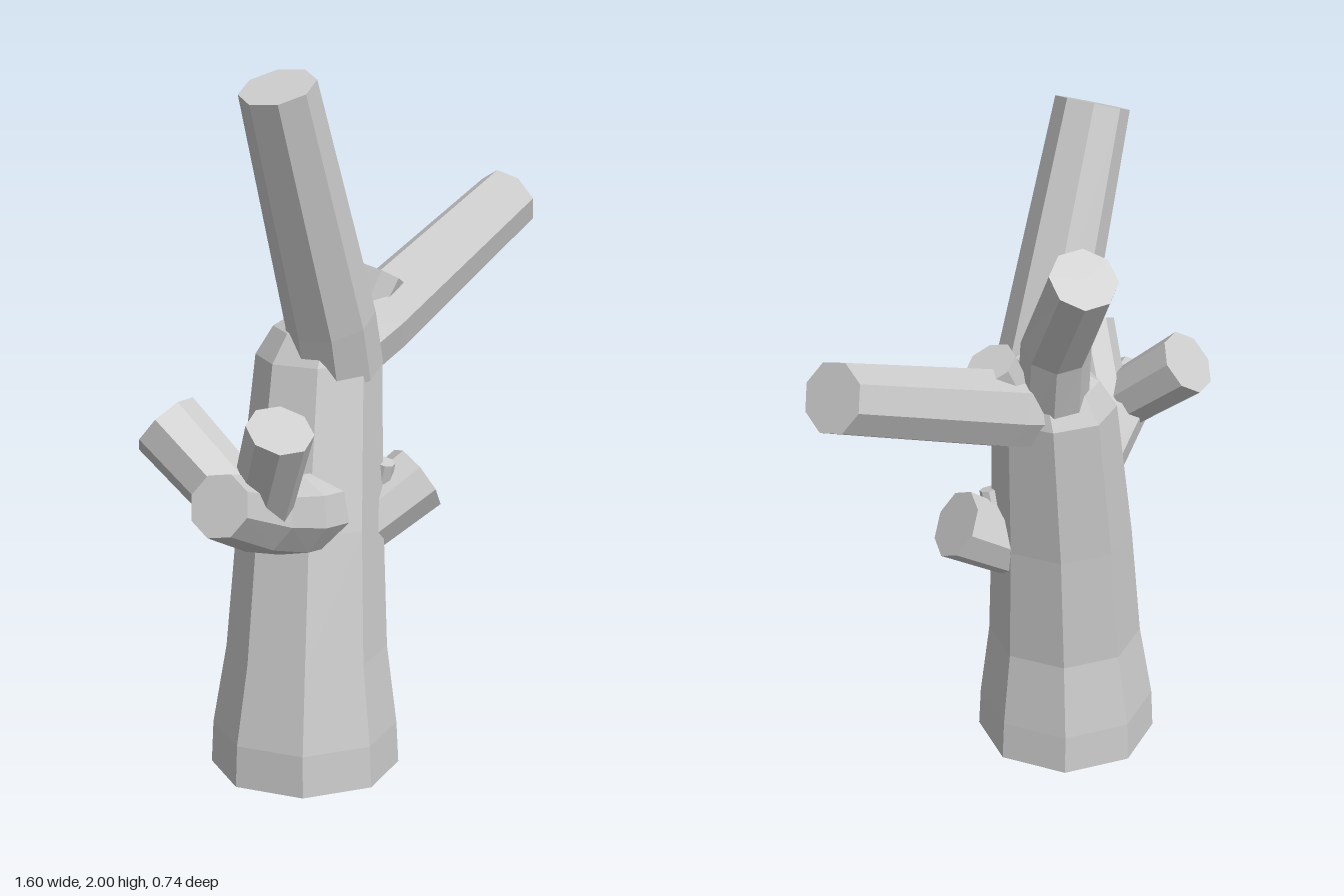
import * as THREE from 'three';

const SIDES = 8;

// Closed octagonal limb through rings [x, y, z, radius]; level keeps the rings horizontal
function limb(rings, level = false, phase = -0.15) {
  const centres = rings.map(([x, y, z]) => new THREE.Vector3(x, y, z));
  const last = rings.length - 1;
  const loops = rings.map((ring, i) => {
    const n = level
      ? new THREE.Vector3(0, 1, 0)
      : centres[Math.min(i + 1, last)].clone().sub(centres[Math.max(i - 1, 0)]).normalize();
    const u = n.clone().cross(new THREE.Vector3(0, 0, 1)).normalize();
    const v = n.clone().cross(u);
    return Array.from({ length: SIDES }, (_, k) => {
      const a = phase + (k / SIDES) * Math.PI * 2;
      return centres[i].clone()
        .addScaledVector(u, Math.cos(a) * ring[3])
        .addScaledVector(v, Math.sin(a) * ring[3]);
    });
  });
  const points = [];
  for (let k = 0; k < SIDES; k++) {
    const m = (k + 1) % SIDES;
    for (let i = 0; i < last; i++) {
      const [a, b, c, d] = [loops[i][k], loops[i][m], loops[i + 1][m], loops[i + 1][k]];
      points.push(a, b, c, a, c, d);
    }
    points.push(centres[0], loops[0][m], loops[0][k]);
    points.push(centres[last], loops[last][k], loops[last][m]);
  }
  const geometry = new THREE.BufferGeometry().setFromPoints(points);
  geometry.computeVertexNormals();
  return geometry;
}

export function createModel() {
  const tree = new THREE.Group();
  tree.name = 'bareTree';
  const bark = new THREE.MeshStandardMaterial({ color: 0xcccccc, flatShading: true });
  bark.name = 'grey bark';

  const add = (name, rings, level, phase) => {
    const mesh = new THREE.Mesh(limb(rings, level, phase), bark);
    mesh.name = name;
    tree.add(mesh);
  };

  // Leaning trunk, flared at the foot and narrowing into the fork
  add('trunk', [
    [-0.21, 0, 0.02, 0.268],
    [-0.21, 0.12, 0.02, 0.262],
    [-0.2, 0.35, 0.02, 0.228],
    [-0.155, 0.72, 0.0, 0.206],
    [-0.075, 1.17, -0.03, 0.178],
    [-0.06, 1.25, -0.02, 0.145],
    [-0.02, 1.33, 0.0, 0.05],
  ], true);

  // Three main boughs
  add('tallBough', [
    [-0.07, 1.14, 0.03, 0.13],
    [-0.12, 1.29, 0.045, 0.127],
    [-0.38, 1.96, 0.07, 0.106],
  ]);
  add('backBough', [
    [-0.03, 1.2, -0.06, 0.1],
    [0.03, 1.42, -0.115, 0.098],
    [0.15, 1.705, -0.295, 0.094],
  ]);
  add('sideBough', [
    [0.0, 1.18, 0.0, 0.115],
    [0.13, 1.23, 0.01, 0.114],
    [0.765, 1.5, 0.045, 0.098],
  ]);
  add('sideBoughKnot', [
    [0.08, 1.24, 0.0, 0.065],
    [0.15, 1.37, 0.02, 0.075],
  ]);

  // Low bough with two upright twigs
  add('lowBough', [
    [-0.18, 0.76, 0.06, 0.115],
    [-0.36, 0.79, 0.09, 0.115],
    [-0.56, 0.85, 0.14, 0.105],
    [-0.765, 0.93, 0.175, 0.088],
  ]);
  add('frontTwig', [
    [-0.575, 0.88, 0.16, 0.085],
    [-0.65, 1.125, 0.285, 0.09],
  ]);
  add('backTwig', [
    [-0.65, 0.9, 0.15, 0.09],
    [-0.675, 1.09, -0.08, 0.1],
  ]);

  // Sawn stub with a small shoot
  add('stub', [
    [-0.04, 0.69, 0.09, 0.095],
    [0.12, 0.8, 0.175, 0.103],
  ]);
  add('stubShoot', [
    [0.0, 0.76, 0.12, 0.035],
    [-0.005, 0.87, 0.15, 0.03],
  ]);

  return tree;
}
